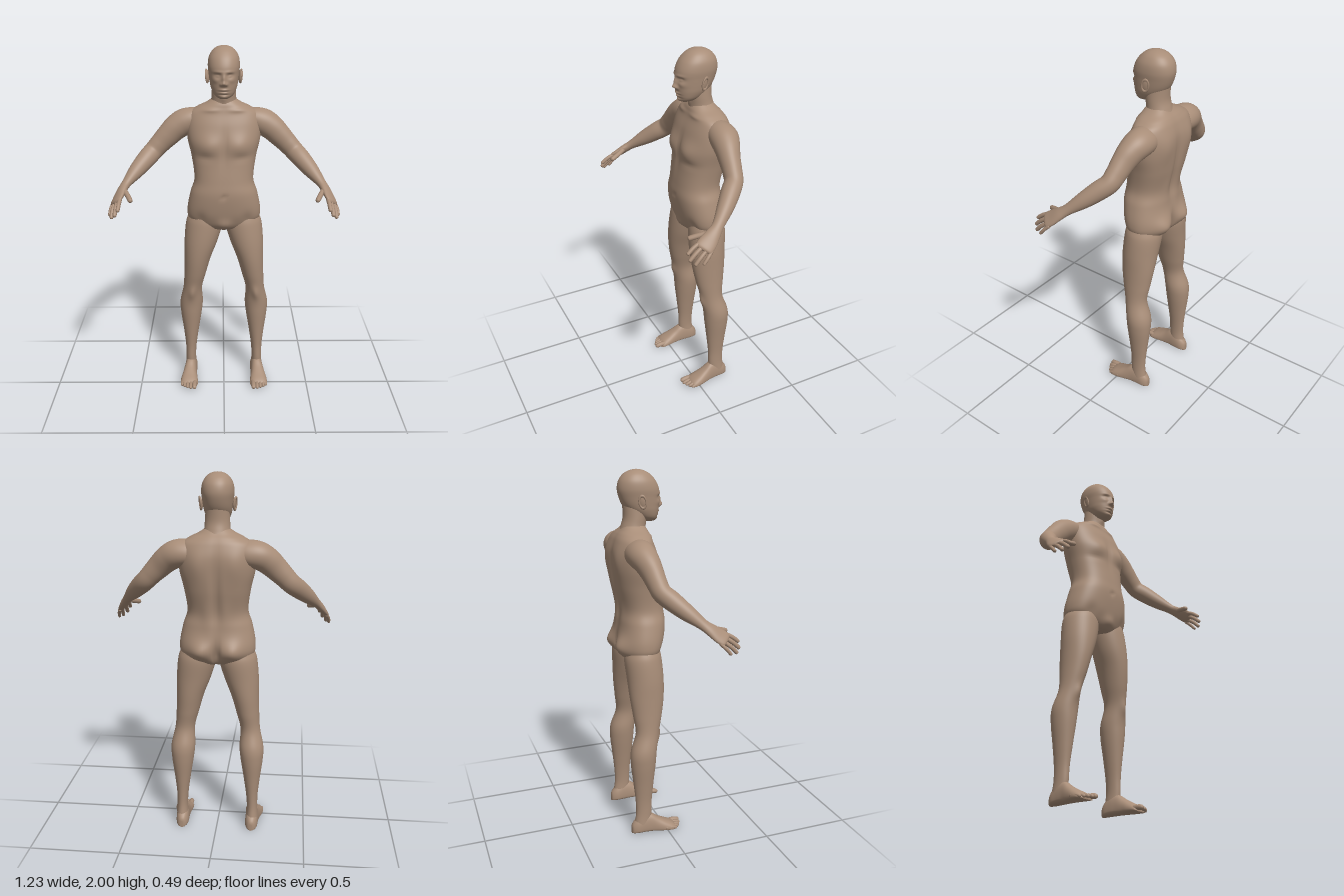
import * as THREE from 'three';

const V = (x, y, z) => new THREE.Vector3(x, y, z);
const spow = (v, p) => Math.sign(v) * Math.pow(Math.abs(v), p);

// Catmull-Rom through rows of numbers, t in 0..1
function sample(rows, t) {
  const n = rows.length - 1;
  const f = Math.min(Math.max(t, 0), 1) * n;
  const i = Math.min(Math.floor(f), n - 1), u = f - i;
  const [a, b, c, d] = [-1, 0, 1, 2].map(k => rows[Math.min(Math.max(i + k, 0), n)]);
  return b.map((_, k) => b[k] + 0.5 * u * (c[k] - a[k]
    + u * (2 * a[k] - 5 * b[k] + 4 * c[k] - d[k] + u * (3 * (b[k] - c[k]) + d[k] - a[k]))));
}

// Closed smooth skin over interpolated cross-sections
function loft(rows, steps, sides, point) {
  const pos = [], idx = [];
  for (let i = 0; i <= steps; i++) {
    const t = i / steps, row = sample(rows, t);
    const next = sample(rows, t + 0.01), prev = sample(rows, t - 0.01);
    const tangent = V(next[0] - prev[0], next[1] - prev[1], next[2] - prev[2]).normalize();
    for (let j = 0; j < sides; j++) {
      const a = j / sides * Math.PI * 2;
      pos.push(...point(row, Math.cos(a), Math.sin(a), tangent).toArray());
    }
  }
  for (let i = 0; i < steps; i++) for (let j = 0; j < sides; j++) {
    const k = (j + 1) % sides, a = i * sides + j, b = i * sides + k;
    idx.push(a, b, a + sides, b, b + sides, a + sides);
  }
  // end caps
  for (const [ring, flip] of [[0, true], [steps, false]]) {
    const c = V(0, 0, 0), hub = pos.length / 3;
    for (let j = 0; j < sides; j++) c.add(V().fromArray(pos, (ring * sides + j) * 3));
    pos.push(...c.divideScalar(sides).toArray());
    for (let j = 0; j < sides; j++) {
      const a = ring * sides + j, b = ring * sides + (j + 1) % sides;
      idx.push(...(flip ? [hub, b, a] : [hub, a, b]));
    }
  }
  // turn faces outward
  let volume = 0;
  const p = k => V().fromArray(pos, idx[k] * 3);
  for (let k = 0; k < idx.length; k += 3) volume += p(k).dot(p(k + 1).cross(p(k + 2)));
  if (volume < 0) idx.reverse();
  const g = new THREE.BufferGeometry();
  g.setAttribute('position', new THREE.Float32BufferAttribute(pos, 3));
  g.setIndex(idx);
  g.computeVertexNormals();
  return g;
}

// Sum of soft mirrored bumps [x, y, width, height, amount]
const relief = (list, x, y) => list.reduce((sum, [bx, by, w, h, m]) =>
  sum + m * Math.exp(-(((Math.abs(x) - bx) / w) ** 2) - ((y - by) / h) ** 2), 0);

// Upright body: rows [y, halfWidth, zFront, zBack] with relief on front and back
function trunk(rows, steps, sides, px, pz, front, back) {
  return loft(rows, steps, sides, ([y, rx, zf, zb], c, s) => {
    const x = rx * spow(c, px);
    const d = Math.min(1, Math.abs(s) * 2) * relief(s > 0 ? front : back, x, y);
    return V(x, y, (zf + zb) / 2 + (zf - zb) / 2 * spow(s, pz) + Math.sign(s) * d);
  });
}

// Limb along a path: rows [x, y, z, halfWidth, halfThickness], width laid along "across"
function limb(rows, across, side, steps, sides) {
  return loft(rows, steps, sides, ([x, y, z, a, b], c, s, t) => {
    const u = across.clone().addScaledVector(t, -across.dot(t)).normalize();
    const p = V(x, y, z).addScaledVector(u, a * c).addScaledVector(t.clone().cross(u), b * s);
    p.x *= side;
    return p;
  });
}

// Finger or toe with a rounded tip
function digit(points, r, across, side) {
  const rows = points.map(p => [...p, r, r]);
  const tip = points[points.length - 1], prev = points[points.length - 2];
  const dir = V(...tip).sub(V(...prev)).normalize();
  const at = d => V(...tip).addScaledVector(dir, d).toArray();
  rows[rows.length - 1] = [...at(-r), r * 0.92, r * 0.92];
  rows.push([...at(-r * 0.3), r * 0.65, r * 0.65], [...at(0), r * 0.08, r * 0.08]);
  return limb(rows, across, side, 16, 12);
}

export function createModel() {
  const group = new THREE.Group();
  group.name = 'standingFigure';
  const skin = new THREE.MeshStandardMaterial({ color: 0xa88d78 });
  skin.name = 'skin';
  const add = (name, geometry) => {
    const m = new THREE.Mesh(geometry, skin);
    m.name = name;
    group.add(m);
    return m;
  };

  // torso with chest, belly, spine groove, shoulder blades and buttocks
  add('torso', trunk([
    [0.985, 0.06, -0.035, -0.15], [1.0, 0.13, -0.012, -0.18], [1.04, 0.195, 0.01, -0.205],
    [1.1, 0.206, 0.03, -0.215], [1.2, 0.187, 0.043, -0.205], [1.28, 0.164, 0.036, -0.2],
    [1.4, 0.178, 0.02, -0.227], [1.5, 0.2, 0.01, -0.238], [1.58, 0.203, -0.006, -0.238],
    [1.64, 0.188, -0.028, -0.222], [1.672, 0.145, -0.038, -0.205], [1.695, 0.098, -0.045, -0.185],
    [1.72, 0.06, -0.06, -0.165],
  ], 90, 96, 0.82, 0.88, [
    [0.085, 1.48, 0.07, 0.055, 0.02], [0.1, 1.415, 0.05, 0.02, -0.006], [0, 1.47, 0.016, 0.09, -0.006],
    [0, 1.2, 0.011, 0.013, -0.008], [0, 1.025, 0.04, 0.035, 0.016], [0.13, 1.06, 0.03, 0.04, -0.008],
    [0.08, 1.665, 0.05, 0.012, 0.006],
  ], [
    [0, 1.4, 0.022, 0.18, -0.014], [0.1, 1.54, 0.05, 0.08, 0.01], [0.09, 1.07, 0.06, 0.055, 0.034],
    [0, 1.055, 0.016, 0.06, -0.03], [0.05, 1.28, 0.03, 0.07, 0.006],
  ]));

  add('neck', trunk([
    [1.6, 0.1, -0.06, -0.2], [1.67, 0.082, -0.048, -0.192], [1.71, 0.069, -0.047, -0.178],
    [1.76, 0.065, -0.04, -0.166], [1.84, 0.06, -0.03, -0.17],
  ], 24, 48, 1, 1, [[0, 1.725, 0.015, 0.02, 0.006]], []));

  // head with brow, eyes, nose, lips and chin
  add('head', trunk([
    [1.733, 0.022, 0.0, -0.045], [1.742, 0.04, 0.013, -0.075], [1.76, 0.057, 0.02, -0.105],
    [1.79, 0.07, 0.026, -0.145], [1.82, 0.076, 0.029, -0.17], [1.86, 0.081, 0.031, -0.187],
    [1.9, 0.085, 0.028, -0.195], [1.94, 0.08, 0.01, -0.188], [1.97, 0.064, -0.016, -0.168],
    [1.988, 0.044, -0.042, -0.142], [1.997, 0.022, -0.068, -0.115], [2.0, 0.002, -0.09, -0.095],
  ], 120, 128, 0.95, 0.92, [
    [0, 1.842, 0.011, 0.024, 0.012], [0, 1.818, 0.012, 0.012, 0.018], [0.014, 1.813, 0.008, 0.009, 0.008],
    [0.033, 1.857, 0.018, 0.012, -0.012], [0.033, 1.855, 0.012, 0.007, 0.007],
    [0.03, 1.876, 0.026, 0.008, 0.004], [0, 1.784, 0.022, 0.006, 0.007], [0, 1.776, 0.024, 0.003, -0.004],
    [0, 1.768, 0.018, 0.006, 0.006], [0, 1.758, 0.03, 0.004, -0.003], [0, 1.745, 0.018, 0.009, 0.006],
    [0.045, 1.832, 0.016, 0.014, 0.004],
  ], []));

  for (const side of [1, -1]) {
    const tag = side > 0 ? 'left' : 'right';

    // ear: lobe plate with a raised rim
    const ear = new THREE.Group();
    ear.name = tag + 'Ear';
    const plate = new THREE.Mesh(new THREE.SphereGeometry(1, 20, 14), skin);
    plate.scale.set(0.007, 0.034, 0.019);
    const rim = new THREE.Mesh(new THREE.TorusGeometry(0.018, 0.0045, 8, 28), skin);
    rim.rotation.y = Math.PI / 2;
    rim.scale.set(1, 1.75, 1);
    rim.position.x = side * 0.005;
    plate.name = 'earPlate';
    rim.name = 'earRim';
    ear.add(plate, rim);
    ear.position.set(side * 0.086, 1.84, -0.088);
    ear.rotation.set(-0.15, side * 0.3, side * -0.08);
    group.add(ear);

    // shoulder, arm and palm in one sweep
    const palmAcross = V(-0.6, 0.45, 0.6).normalize();
    add(tag + 'Arm', limb([
      [0.1, 1.6, -0.145, 0.06, 0.05], [0.16, 1.595, -0.14, 0.075, 0.066], [0.215, 1.583, -0.135, 0.075, 0.073],
      [0.262, 1.555, -0.125, 0.066, 0.07], [0.305, 1.515, -0.115, 0.056, 0.064], [0.35, 1.47, -0.107, 0.05, 0.057],
      [0.388, 1.43, -0.095, 0.048, 0.053], [0.425, 1.395, -0.057, 0.049, 0.051], [0.475, 1.345, 0.0, 0.042, 0.042],
      [0.525, 1.292, 0.065, 0.03, 0.025], [0.547, 1.263, 0.104, 0.037, 0.022], [0.563, 1.236, 0.14, 0.045, 0.018],
      [0.574, 1.218, 0.168, 0.043, 0.014], [0.578, 1.212, 0.177, 0.025, 0.006],
    ], palmAcross, side, 90, 40));

    // thumb and fingers: start, middle and tip
    [
      [[0.54, 1.272, 0.1], [0.512, 1.254, 0.155], [0.488, 1.236, 0.212]],
      [[0.548, 1.243, 0.165], [0.552, 1.222, 0.21], [0.556, 1.192, 0.25]],
      [[0.564, 1.228, 0.162], [0.57, 1.199, 0.207], [0.573, 1.163, 0.247]],
      [[0.58, 1.213, 0.15], [0.59, 1.181, 0.192], [0.593, 1.145, 0.226]],
      [[0.592, 1.205, 0.132], [0.603, 1.178, 0.16], [0.608, 1.146, 0.187]],
    ].forEach((pts, i) => add(tag + (i ? 'Finger' + i : 'Thumb'),
      digit(pts, [0.014, 0.011, 0.0115, 0.011, 0.0095][i], palmAcross, side)));

    // leg: rows [y, x, z, halfWidth, halfDepth]
    add(tag + 'Leg', loft([
      [1.11, 0.1, -0.1, 0.07, 0.075], [1.05, 0.106, -0.1, 0.098, 0.094], [1.0, 0.113, -0.1, 0.105, 0.102],
      [0.9, 0.132, -0.094, 0.095, 0.101], [0.8, 0.152, -0.093, 0.077, 0.095], [0.7, 0.168, -0.095, 0.064, 0.081],
      [0.6, 0.184, -0.102, 0.055, 0.064], [0.5, 0.193, -0.125, 0.067, 0.072], [0.42, 0.196, -0.13, 0.062, 0.07],
      [0.3, 0.198, -0.13, 0.045, 0.057], [0.2, 0.2, -0.13, 0.033, 0.047], [0.12, 0.202, -0.13, 0.03, 0.045],
      [0.05, 0.202, -0.138, 0.034, 0.048],
    ], 80, 48, ([y, x, z, rx, rz], c, s) => {
      const knee = s > 0 ? 0.012 * s * relief([[0, 0.58, 0.022, 0.04, 1]], rx * c, y) : 0;
      return V(side * (x + rx * c), y, z + rz * s + knee);
    }));

    // foot: rows [z, x, halfWidth, height], flat sole
    add(tag + 'Foot', loft([
      [-0.202, 0.2, 0.008, 0.04], [-0.195, 0.2, 0.022, 0.058], [-0.17, 0.2, 0.034, 0.085],
      [-0.13, 0.201, 0.037, 0.112], [-0.09, 0.204, 0.038, 0.108], [-0.05, 0.208, 0.043, 0.082],
      [-0.01, 0.21, 0.05, 0.06], [0.025, 0.21, 0.052, 0.043], [0.045, 0.208, 0.047, 0.03],
      [0.056, 0.206, 0.036, 0.016],
    ], 40, 36, ([z, x, w, h], c, s) =>
      V(side * (x + w * spow(c, 0.8)), h * (s < 0 ? 0.3 + 0.3 * spow(s, 0.6) : 0.3 + 0.7 * s), z)));

    // toes, big toe on the inside
    [[0.178, 0.094, 0.0145], [0.2, 0.09, 0.0105], [0.219, 0.08, 0.01], [0.237, 0.068, 0.0095], [0.252, 0.054, 0.009]]
      .forEach(([x, z, r], i) => add(tag + 'Toe' + (i + 1),
        digit([[x, 0.02, z - 0.07], [x, 0.021, z - 0.035], [x, r + 0.001, z]], r, V(1, 0, 0), side)));
  }
  return group;
}
